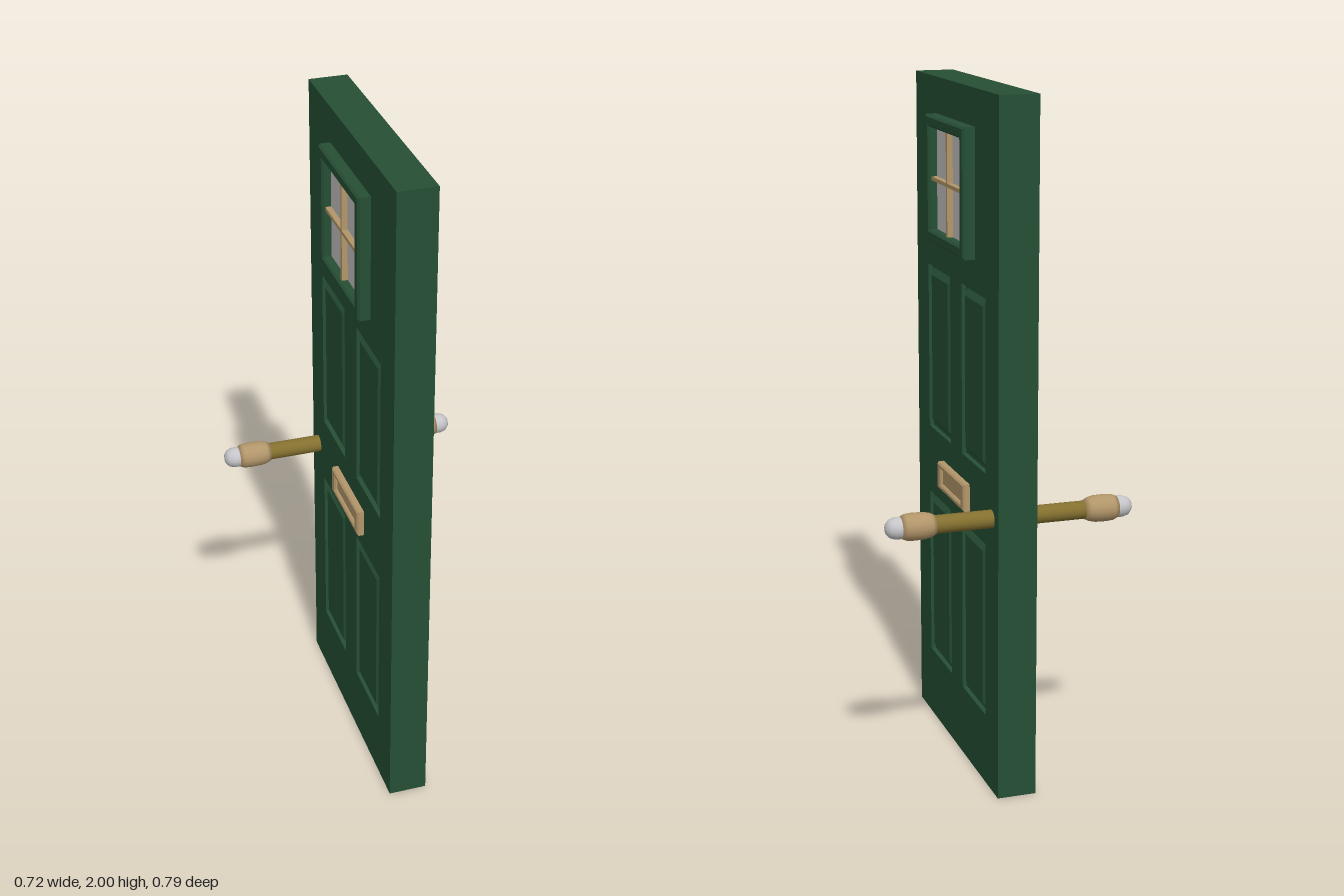
import * as THREE from 'three';

const mat = (name, color) => {
  const m = new THREE.MeshStandardMaterial({ color });
  m.name = name;
  return m;
};

const rect = (P, cx, cy, w, h) => {
  const p = new P();
  p.moveTo(cx - w / 2, cy - h / 2);
  p.lineTo(cx + w / 2, cy - h / 2);
  p.lineTo(cx + w / 2, cy + h / 2);
  p.lineTo(cx - w / 2, cy + h / 2);
  p.closePath();
  return p;
};

// Plate from z0 to z1 with rectangular holes and a chamfered outer face
function plate(outer, holes, z0, z1, bevel = 0) {
  const [cx, cy, w, h] = outer;
  const shape = rect(THREE.Shape, cx, cy, w - 2 * bevel, h - 2 * bevel);
  for (const [x, y, hw, hh] of holes) shape.holes.push(rect(THREE.Path, x, y, hw + 2 * bevel, hh + 2 * bevel));
  const g = new THREE.ExtrudeGeometry(shape, {
    depth: z1 - z0 - 2 * bevel, bevelEnabled: bevel > 0,
    bevelSize: bevel, bevelThickness: bevel, bevelSegments: 1,
  });
  return g.translate(0, 0, z0 + bevel);
}

// Raised field whose outer face is inset on all sides
function raisedField(w, h, depth, inset) {
  const g = new THREE.BoxGeometry(w, h, depth).toNonIndexed();
  const p = g.attributes.position;
  for (let i = 0; i < p.count; i++) {
    if (p.getZ(i) > 0) {
      p.setX(i, p.getX(i) - Math.sign(p.getX(i)) * inset);
      p.setY(i, p.getY(i) - Math.sign(p.getY(i)) * inset);
    }
  }
  g.computeVertexNormals();
  return g;
}

export function createModel() {
  const green = mat('door green', 0x264f35);
  const brass = mat('pale brass', 0xb2966a);
  const rodBrass = mat('dark brass', 0x84702f);
  const glassMat = mat('window grey', 0xc4c2c0);
  const tipMat = mat('knob tip grey', 0xc6c6ca);

  const model = new THREE.Group();
  const door = new THREE.Group();
  door.name = 'door';
  door.position.x = 0.0315;
  door.rotation.y = 0.105;
  model.add(door);

  const add = (parent, name, geo, material, x = 0, y = 0, z = 0) => {
    const m = new THREE.Mesh(geo, material);
    m.name = name;
    m.position.set(x, y, z);
    parent.add(m);
    return m;
  };

  const W = 0.78, H = 2, HALF = 0.057, RECESS = 0.014;
  add(door, 'doorCore', new THREE.BoxGeometry(2 * (HALF - RECESS), H, W), green, 0, H / 2, 0);

  // Panel recesses: centre x, centre y, width, height
  const panels = [];
  for (const x of [-0.165, 0.165]) panels.push([x, 1.19, 0.22, 0.5], [x, 0.472, 0.22, 0.52]);

  // Both faces carry the same panels, window and letter plate
  for (const s of [1, -1]) {
    const face = new THREE.Group();
    face.name = s > 0 ? 'leftFace' : 'rightFace';
    face.rotation.y = s * Math.PI / 2;
    door.add(face);

    add(face, 'doorSkin', plate([0, H / 2, W, H], panels, HALF - RECESS, HALF), green);
    for (const [x, y, w, h] of panels) {
      add(face, 'raisedPanel', raisedField(w - 0.022, h - 0.022, 0.013, 0.018), green, x, y, HALF - RECESS + 0.0065);
    }

    // Window
    const wy = 1.7125;
    add(face, 'windowFrame', plate([0, wy, 0.366, 0.365], [[0, wy, 0.298, 0.297]], 0.05, 0.093, 0.006), green);
    add(face, 'windowGlass', new THREE.BoxGeometry(0.31, 0.31, 0.008), glassMat, 0, wy, 0.062);
    add(face, 'verticalBar', new THREE.BoxGeometry(0.011, 0.3, 0.018), brass, 0, wy, 0.074);
    add(face, 'horizontalBar', new THREE.BoxGeometry(0.3, 0.011, 0.018), brass, 0, wy, 0.074);

    // Letter plate
    const ly = 0.825;
    add(face, 'letterPlateRim', plate([0, ly, 0.258, 0.082], [[0, ly, 0.2, 0.046]], 0.05, 0.078, 0.005), brass);
    add(face, 'letterFlap', new THREE.BoxGeometry(0.212, 0.058, 0.014), brass, 0, ly, 0.061);
  }

  // Handle rod running through the door with a knob at each end
  const handle = new THREE.Group();
  handle.name = 'handle';
  handle.position.set(0.003, 0.825, -0.332);
  door.add(handle);
  add(handle, 'handleRod', new THREE.CylinderGeometry(0.026, 0.026, 0.46, 16), rodBrass).rotation.z = Math.PI / 2;

  const lathe = (pts) => new THREE.LatheGeometry(pts.map(([r, y]) => new THREE.Vector2(r, y)), 16);
  const gripGeo = lathe([[0, 0.218], [0.028, 0.22], [0.034, 0.232], [0.038, 0.25], [0.039, 0.285], [0.037, 0.305], [0.031, 0.318], [0, 0.319]]);
  const tipGeo = lathe([[0.031, 0.312], [0.031, 0.335], [0.026, 0.35], [0.015, 0.36], [0, 0.362]]);
  for (const s of [1, -1]) {
    const knob = new THREE.Group();
    knob.name = s > 0 ? 'leftKnob' : 'rightKnob';
    knob.rotation.z = -s * Math.PI / 2;
    handle.add(knob);
    add(knob, 'knobGrip', gripGeo, brass);
    add(knob, 'knobTip', tipGeo, tipMat);
  }

  return model;
}
